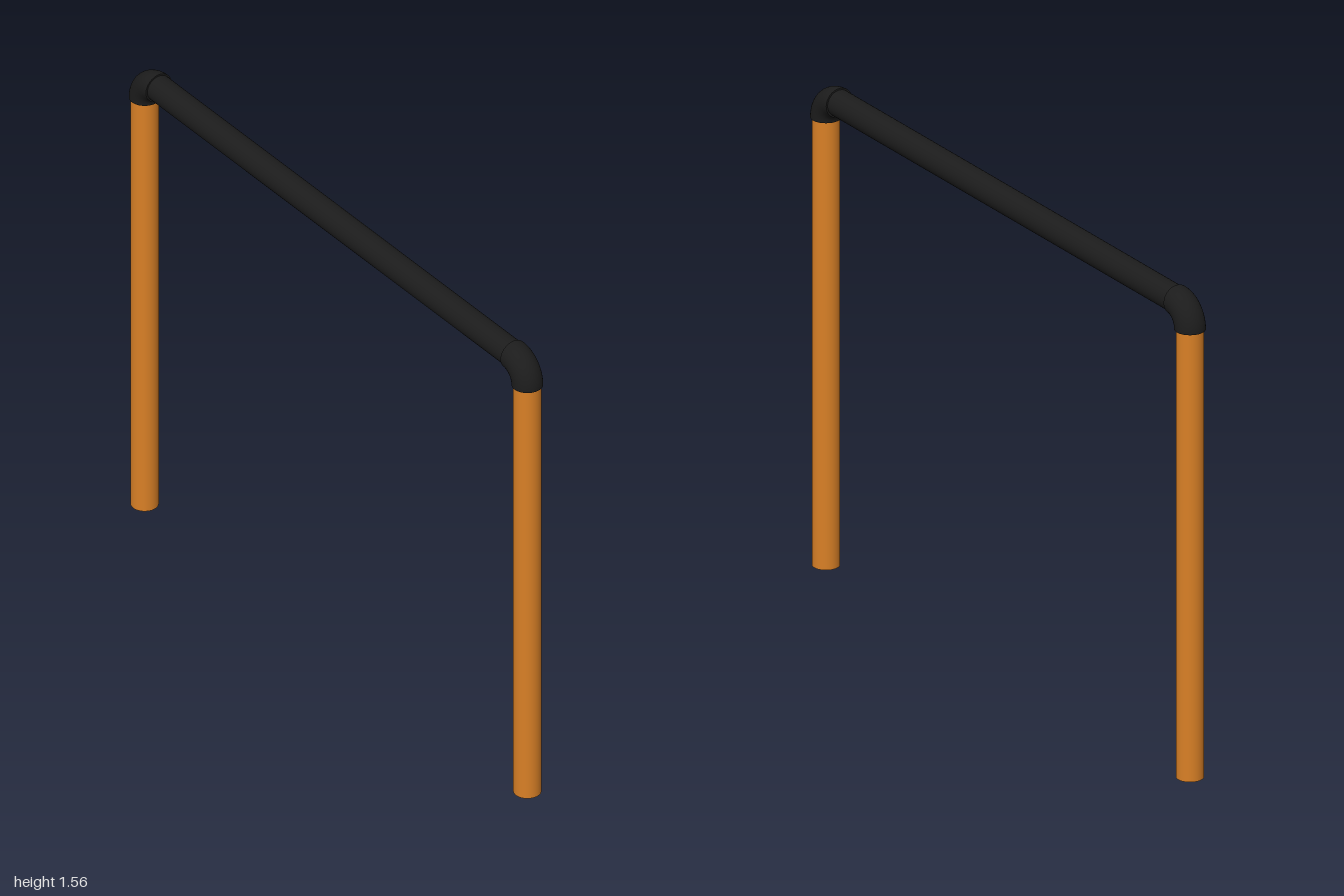
import * as THREE from 'three';

const PIPE_R = 0.042, FIT_R = 0.047, BEND = 0.07;
const POST_X = 0.953, RAIL_Y = 1.513;
const BEND_X = POST_X - BEND, BEND_Y = RAIL_Y - BEND;

export function createModel() {
  const model = new THREE.Group();
  model.name = 'pipeFrame';
  const orange = new THREE.MeshStandardMaterial({ color: 0xd98026 });
  const black = new THREE.MeshStandardMaterial({ color: 0x1c1c1c });

  const add = (parent, name, geometry, material) => {
    const mesh = new THREE.Mesh(geometry, material);
    mesh.name = name;
    parent.add(mesh);
    return mesh;
  };

  // Horizontal top rail, its ends seated in the elbows
  const rail = add(model, 'topRail', new THREE.CylinderGeometry(PIPE_R, PIPE_R, BEND_X * 2, 32), black);
  rail.rotation.z = Math.PI / 2;
  rail.position.y = RAIL_Y;

  for (const [label, turn] of [['left', 0], ['right', Math.PI]]) {
    const side = new THREE.Group();
    side.name = label + 'Side';
    side.rotation.y = turn;
    model.add(side);

    // Upright post
    const post = add(side, label + 'Post', new THREE.CylinderGeometry(PIPE_R, PIPE_R, BEND_Y, 32), orange);
    post.position.set(POST_X, BEND_Y / 2, 0);

    // Quarter-bend elbow joining post and rail
    const elbow = add(side, label + 'Elbow', new THREE.TorusGeometry(BEND, FIT_R, 32, 20, Math.PI / 2), black);
    elbow.position.set(BEND_X, BEND_Y, 0);

    // Flat rims closing the elbow around each pipe
    const rim = new THREE.RingGeometry(PIPE_R - 0.002, FIT_R, 32);
    const lowerRim = add(side, label + 'ElbowLowerRim', rim, black);
    lowerRim.rotation.x = Math.PI / 2;
    lowerRim.position.set(POST_X, BEND_Y, 0);
    const innerRim = add(side, label + 'ElbowInnerRim', rim, black);
    innerRim.rotation.y = -Math.PI / 2;
    innerRim.position.set(BEND_X, RAIL_Y, 0);
  }
  return model;
}
